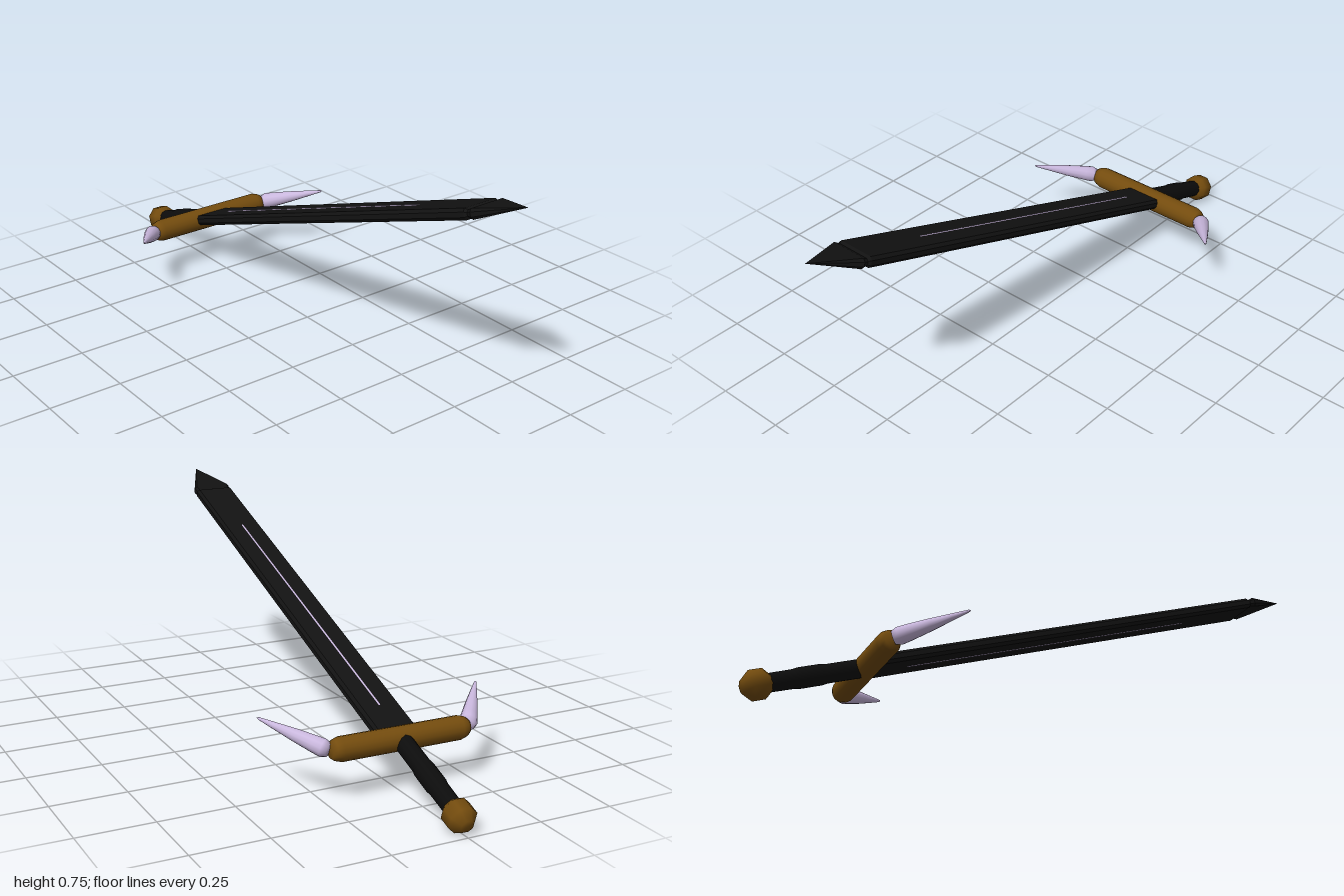
import * as THREE from 'three';

const mat = (name, color) => {
  const m = new THREE.MeshStandardMaterial({ color });
  m.name = name;
  return m;
};

// Turned part around the sword's long axis; points are [radius, height]
function lathe(points, sides, phase = 0) {
  return new THREE.LatheGeometry(points.map(([r, h]) => new THREE.Vector2(r, h)), sides, phase);
}

// Flat-faced loft of a rectangle with chamfered edges; stations are [height, halfWidth, halfThickness]
function bladeLoft(stations) {
  const ring = ([y, w, t]) => [[1, 0.45], [0.88, 1], [-0.88, 1], [-1, 0.45], [-1, -0.45], [-0.88, -1], [0.88, -1], [1, -0.45]]
    .map(([u, v]) => [u * w, y, v * t]);
  const pos = [];
  for (let k = 0; k + 1 < stations.length; k++) {
    const lo = ring(stations[k]), hi = ring(stations[k + 1]);
    for (let i = 0; i < 8; i++) {
      const j = (i + 1) % 8;
      pos.push(...lo[i], ...hi[i], ...hi[j], ...lo[i], ...hi[j], ...lo[j]);
    }
  }
  const g = new THREE.BufferGeometry();
  g.setAttribute('position', new THREE.Float32BufferAttribute(pos, 3));
  g.computeVertexNormals();
  return g;
}

export function createModel() {
  const black = mat('blackSteel', 0x121212);
  const leather = mat('darkGrip', 0x0c0c0c);
  const bronze = mat('bronze', 0x744c0e);
  const lilac = mat('paleLilac', 0xcab8de);

  const model = new THREE.Group();
  model.name = 'sword';

  // The sword is built upright from the guard, then tilted forward
  const sword = new THREE.Group();
  sword.name = 'tiltedSword';
  sword.position.set(0, 0.177, -0.612);
  sword.rotation.x = Math.PI / 2 - 0.347;
  model.add(sword);

  const add = (name, geometry, material) => {
    const m = new THREE.Mesh(geometry, material);
    m.name = name;
    sword.add(m);
    return m;
  };

  // Blade with a narrow seam below the point
  add('blade', bladeLoft([
    [0, 0, 0], [0, 0.07, 0.018], [1.522, 0.07, 0.018], [1.532, 0.065, 0.012],
    [1.55, 0.07, 0.017], [1.714, 0, 0],
  ]), black);

  // Inlay running through the blade, proud of both faces
  const inlay = add('bladeInlay', lathe([
    [0, 0.136], [0.015, 0.138], [0.02, 0.146], [0.02, 1.248], [0.015, 1.256], [0, 1.258],
  ], 12), lilac);
  inlay.scale.x = 0.48;

  // Crossguard
  const guard = add('guard', lathe([
    [0, -0.24], [0.024, -0.24], [0.033, -0.228], [0.039, -0.208],
    [0.039, 0.208], [0.033, 0.228], [0.024, 0.24], [0, 0.24],
  ], 16), bronze);
  guard.rotation.z = Math.PI / 2;

  // Horns sweeping forward from the guard ends
  for (const side of [1, -1]) {
    const horn = add(side > 0 ? 'leftHorn' : 'rightHorn', lathe([
      [0, 0], [0.022, 0.002], [0.029, 0.02], [0.027, 0.05],
      [0.02, 0.12], [0.011, 0.19], [0.004, 0.243], [0, 0.25],
    ], 12), lilac);
    horn.position.set(side * 0.243, 0.002, 0);
    horn.rotation.z = -side * Math.atan2(0.157, 0.21);
  }

  // Grip
  add('grip', lathe([
    [0.03, -0.345], [0.031, -0.24], [0.034, -0.225], [0.034, -0.15], [0.031, -0.135], [0.031, 0],
  ], 12), leather);

  // Faceted round pommel
  add('pommel', lathe([
    [0, -0.407], [0.022, -0.407], [0.048, -0.38], [0.048, -0.336], [0.022, -0.31], [0, -0.31],
  ], 8, Math.PI / 8), bronze);

  return model;
}
